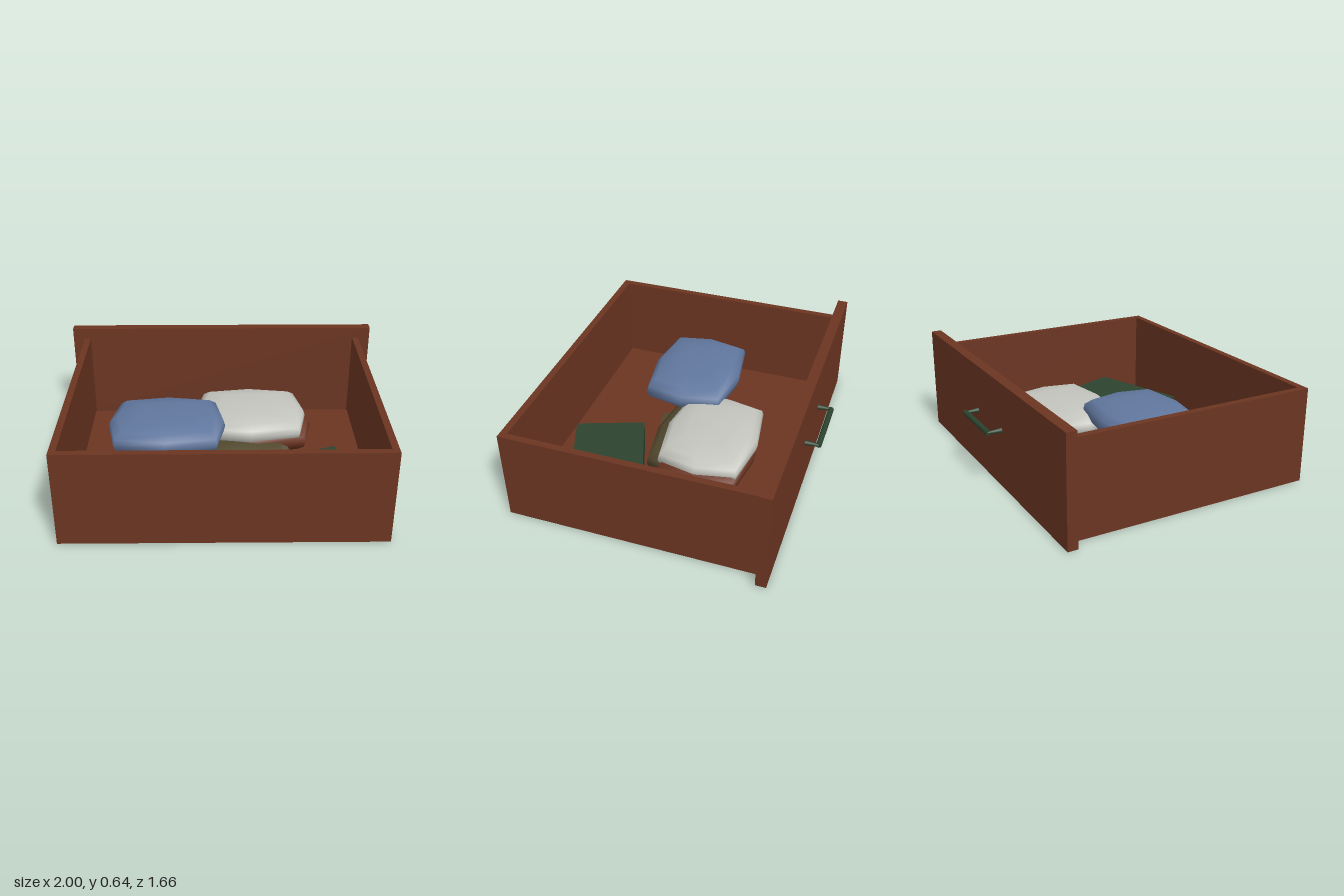
import * as THREE from 'three';

const mat = (name, color) => {
  const m = new THREE.MeshStandardMaterial({ color });
  m.name = name;
  return m;
};

export function createModel() {
  const wood = mat('reddish wood', 0x6b3522);
  const green = mat('dark green', 0x2c432f);
  const blue = mat('denim blue', 0x61779e);
  const white = mat('off white', 0xc4c4be);
  const olive = mat('olive', 0x50462c);

  const model = new THREE.Group();
  model.name = 'openDrawer';

  const add = (name, geo, material, parent = model) => {
    const mesh = new THREE.Mesh(geo, material);
    mesh.name = name;
    parent.add(mesh);
    return mesh;
  };

  // Box given by its extents
  const box = (name, material, x0, x1, y0, y1, z0, z1) => {
    const mesh = add(name, new THREE.BoxGeometry(x1 - x0, y1 - y0, z1 - z0), material);
    mesh.position.set((x0 + x1) / 2, (y0 + y1) / 2, (z0 + z1) / 2);
    return mesh;
  };

  // Drawer body; a narrow slot stays open between floor and face panel
  box('facePanel', wood, -1, 1, 0, 0.645, -0.737, -0.675);
  box('leftSide', wood, 0.885, 0.925, 0, 0.575, -0.675, 0.83);
  box('rightSide', wood, -0.925, -0.885, 0, 0.575, -0.675, 0.83);
  box('endWall', wood, -0.885, 0.885, 0, 0.575, 0.788, 0.83);
  box('floor', wood, -0.885, 0.885, 0, 0.03, -0.652, 0.788);

  // Pull handle: bar on two tapered posts
  const handle = new THREE.Group();
  handle.name = 'handle';
  handle.position.y = 0.36;
  model.add(handle);
  const bar = add('handleBar', new THREE.CylinderGeometry(0.017, 0.017, 0.365, 8), green, handle);
  bar.rotation.z = Math.PI / 2;
  bar.position.z = -0.817;
  for (const side of [-1, 1]) {
    const post = add('handlePost', new THREE.CylinderGeometry(0.016, 0.008, 0.085, 8), green, handle);
    post.rotation.x = Math.PI / 2;
    post.position.set(side * 0.18, 0, -0.777);
  }

  // Folded cloth: eight-sided cushion built from stacked rings
  const outline = [[1, 0], [0.86, 0.84], [0, 1], [-0.86, 0.84], [-1, 0], [-0.86, -0.84], [0, -1], [0.86, -0.84]];
  const rings = [[0.5, -1], [0.84, -0.85], [0.97, -0.45], [1, 0], [0.97, 0.4], [0.84, 0.78], [0.5, 0.97]];
  const cloth = (name, material, [x, y, z], [w, h, d], turn = 0) => {
    const pos = [0, -1, 0];
    const idx = [];
    const n = outline.length;
    for (const [s, v] of rings) for (const [a, b] of outline) pos.push(a * s, v, b * s);
    pos.push(0, 1, 0);
    const last = rings.length * n + 1;
    for (let i = 0; i < n; i++) {
      const j = (i + 1) % n;
      idx.push(0, 1 + i, 1 + j);
      for (let r = 0; r < rings.length - 1; r++) {
        const a = 1 + r * n + i, b = 1 + r * n + j;
        idx.push(a, a + n, b, b, a + n, b + n);
      }
      idx.push(last, last - n + j, last - n + i);
    }
    const geo = new THREE.BufferGeometry();
    geo.setAttribute('position', new THREE.Float32BufferAttribute(pos, 3));
    geo.setIndex(idx);
    geo.scale(w / 2, h / 2, d / 2);
    geo.computeVertexNormals();
    const mesh = add(name, geo, material);
    mesh.position.set(x, y, z);
    mesh.rotation.y = turn;
  };
  cloth('blueCloth', blue, [-0.34, 0.33, 0.095], [0.71, 0.18, 0.565]);
  cloth('whiteCloth', white, [0.175, 0.255, -0.17], [0.71, 0.17, 0.57]);
  cloth('brownCloth', wood, [0.21, 0.19, -0.17], [0.71, 0.17, 0.56]);
  cloth('oliveCloth', olive, [0.09, 0.13, -0.06], [0.71, 0.17, 0.56]);

  // Books lying on the floor
  const book = (name, material, x, z, w, h, d, turn) => {
    const mesh = add(name, new THREE.BoxGeometry(w, h, d), material);
    mesh.position.set(x, 0.03 + h / 2, z);
    mesh.rotation.y = turn;
  };
  book('greenBook', green, 0.462, 0.398, 0.64, 0.145, 0.425, 0.35);
  book('oliveBook', olive, 0.12, -0.03, 0.64, 0.06, 0.48, 0.2);

  return model;
}
